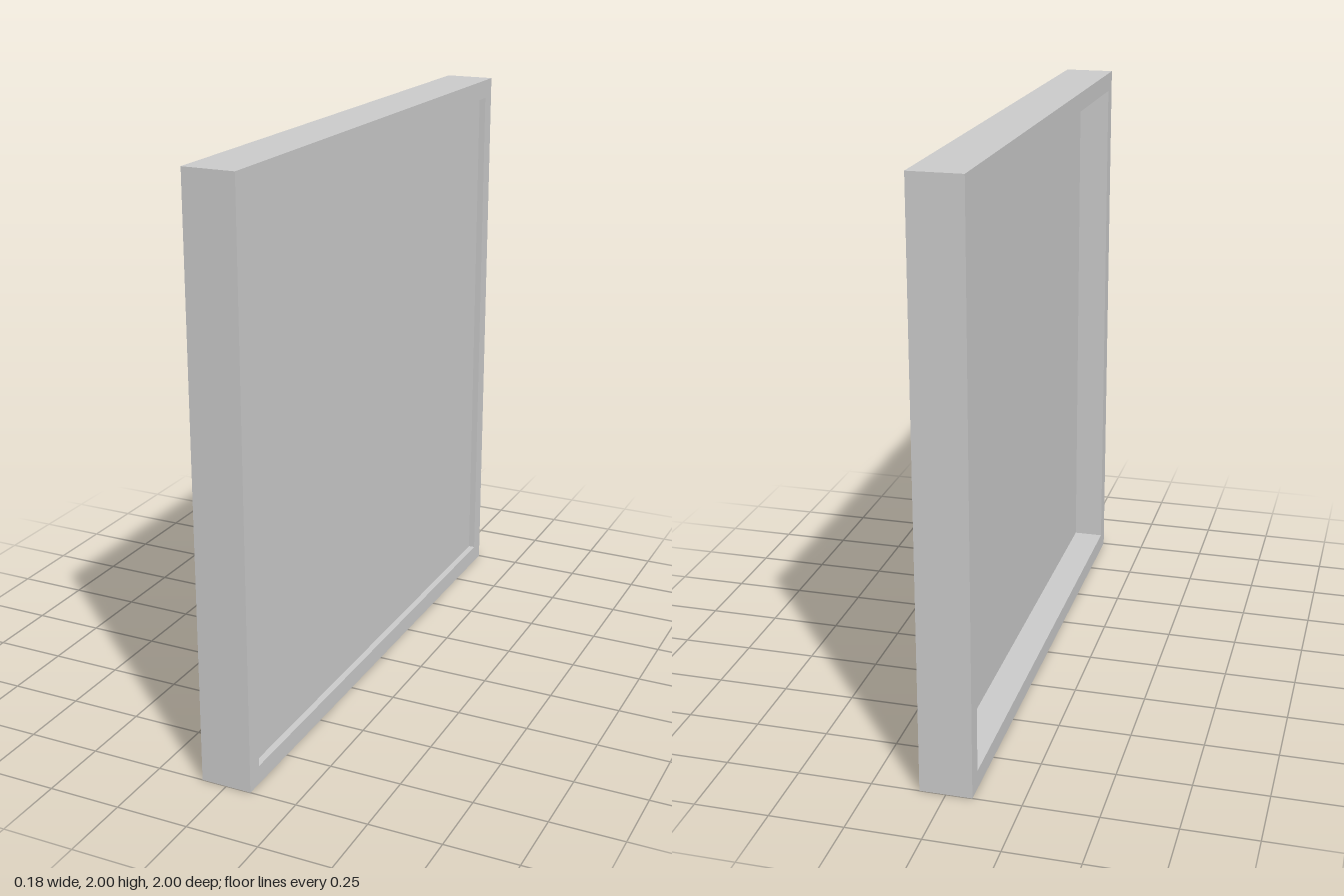
import * as THREE from 'three';

export function createModel() {
  const group = new THREE.Group();
  const material = new THREE.MeshStandardMaterial({ color: 0xcccccc, flatShading: true });
  const depth = 0.176;
  const half = 0.94; // half width of the opening
  const low = 0.064, high = 1.933; // bottom and top of the opening

  // Square frame: outline with a hole, extruded along x
  const outline = new THREE.Shape([
    new THREE.Vector2(-1, 0), new THREE.Vector2(1, 0),
    new THREE.Vector2(1, 2), new THREE.Vector2(-1, 2),
  ]);
  outline.holes.push(new THREE.Path([
    new THREE.Vector2(-half, low), new THREE.Vector2(-half, high),
    new THREE.Vector2(half, high), new THREE.Vector2(half, low),
  ]));
  const frameGeometry = new THREE.ExtrudeGeometry(outline, { depth, bevelEnabled: false });
  frameGeometry.translate(0, 0, -depth / 2).rotateY(Math.PI / 2);
  const frame = new THREE.Mesh(frameGeometry, material);
  frame.name = 'frame';
  group.add(frame);

  // Thin panel: shallow recess on the +x side, deep recess on the -x side
  const panelBack = -depth / 2 + 0.109, panelFront = depth / 2 - 0.023;
  const panel = new THREE.Mesh(
    new THREE.BoxGeometry(panelFront - panelBack, high - low, 2 * half), material);
  panel.position.set((panelFront + panelBack) / 2, (low + high) / 2, 0);
  panel.name = 'panel';
  group.add(panel);

  return group;
}
